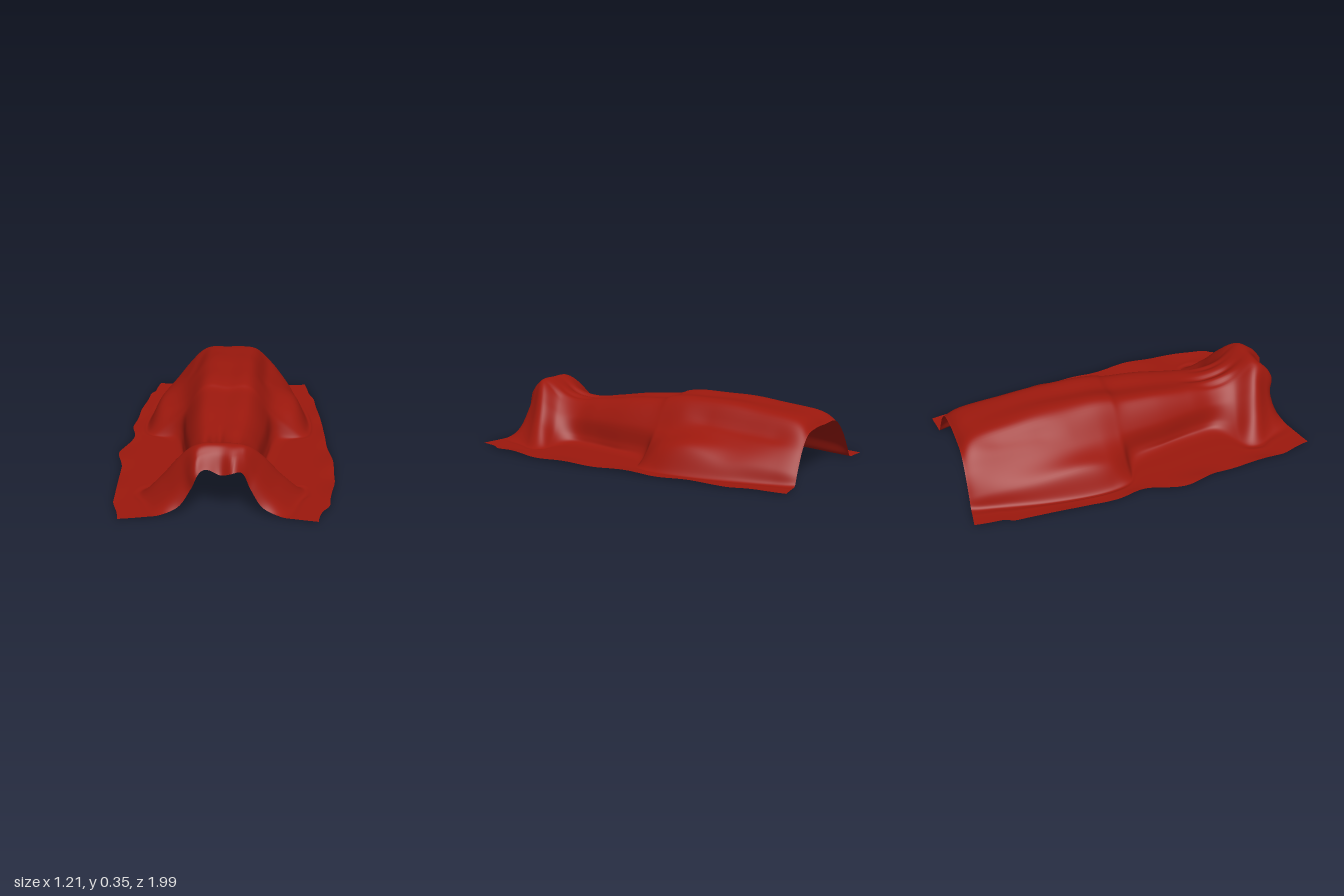
import * as THREE from 'three';

// Half cross-sections of the drape from head end to foot end:
// [z, ground line x, arm x, arm y, flank x, flank y, top half width, top y]
const STATIONS = [
  [-0.96, 0.36, 0.33, 0.07, 0.26, 0.18, 0.16, 0.255],
  [-0.87, 0.385, 0.355, 0.09, 0.27, 0.20, 0.15, 0.312],
  [-0.60, 0.445, 0.395, 0.115, 0.28, 0.205, 0.14, 0.345],
  [-0.36, 0.48, 0.41, 0.145, 0.28, 0.205, 0.14, 0.35],
  [-0.20, 0.48, 0.405, 0.125, 0.27, 0.195, 0.14, 0.35],
  [-0.09, 0.445, 0.365, 0.08, 0.255, 0.18, 0.14, 0.334],
  [-0.01, 0.32, 0.27, 0.06, 0.235, 0.18, 0.14, 0.31],
  [0.20, 0.265, 0.235, 0.055, 0.215, 0.18, 0.13, 0.296],
  [0.40, 0.24, 0.205, 0.055, 0.185, 0.17, 0.11, 0.264],
  [0.55, 0.25, 0.20, 0.055, 0.165, 0.16, 0.09, 0.253],
  [0.69, 0.36, 0.27, 0.07, 0.185, 0.18, 0.09, 0.28],
  [0.82, 0.42, 0.32, 0.125, 0.22, 0.25, 0.12, 0.35],
  [0.89, 0.36, 0.27, 0.095, 0.185, 0.205, 0.115, 0.315],
  [0.94, 0.30, 0.21, 0.055, 0.15, 0.145, 0.10, 0.25],
];

// Hem outlines, as [z, x]
const HEM_RIGHT = [[-1, -0.48], [-0.85, -0.50], [-0.77, -0.53], [-0.4, -0.56], [-0.2, -0.575],
  [-0.05, -0.55], [0.2, -0.61], [0.4, -0.57], [0.8, -0.56], [0.94, -0.515]];
const HEM_LEFT = [[-1, 0.49], [-0.85, 0.51], [-0.68, 0.545], [-0.2, 0.575], [0, 0.58],
  [0.3, 0.605], [0.5, 0.60], [0.8, 0.56], [0.94, 0.49]];

const { smoothstep, clamp, lerp } = THREE.MathUtils;
const bell = (v, centre, width) => Math.exp(-(((v - centre) / width) ** 2));

function hemAt(hem, z) {
  let i = 0;
  while (i < hem.length - 2 && z > hem[i + 1][0]) i++;
  const [a, b] = [hem[i], hem[i + 1]];
  return lerp(a[1], b[1], smoothstep(z, a[0], b[0]));
}

// Cubic blend of neighbouring stations
function stationAt(t) {
  const n = STATIONS.length - 1;
  const i = Math.min(Math.floor(t * n), n - 1);
  const u = t * n - i;
  const at = (k) => STATIONS[clamp(k, 0, n)];
  return at(i).map((b, c) => {
    const a = at(i - 1)[c], d = at(i + 1)[c], e = at(i + 2)[c];
    const m0 = (d - a) / 2, m1 = (e - b) / 2;
    return b + u * (m0 + u * (3 * (d - b) - 2 * m0 - m1 + u * (2 * (b - d) + m0 + m1)));
  });
}

// Creases and soft lumps in the cloth
function foldDepth(x, z) {
  const span = (a, b) => smoothstep(z, a, a + 0.2) * (1 - smoothstep(z, b - 0.2, b));
  let d = -0.028 * bell(x, 0.2 - 0.04 * z, 0.04) * span(-0.98, -0.2);
  d -= 0.014 * bell(x, -0.2 - 0.08 * (z + 0.6), 0.04) * span(-0.95, -0.35);
  d -= 0.016 * bell(x, -0.02, 0.018) * span(0.35, 0.82);
  d -= 0.012 * bell(x, -0.09, 0.018) * span(0.4, 0.8);
  d -= 0.014 * bell(x, 0.06, 0.02) * span(0.42, 0.8);
  d -= 0.03 * bell(x, 0, 0.05) * smoothstep(z, 0.88, 0.94);
  // Dip behind the left forearm
  d -= 0.03 * bell(x, 0.43, 0.06) * bell(z, -0.62, 0.12);
  d += 0.005 * Math.sin(9 * z + 14 * x) * Math.sin(17 * x - 5 * z);
  return d;
}

function createDrape() {
  const rows = 143, cols = 120;
  const positions = [], indices = [];
  for (let r = 0; r <= rows; r++) {
    const [z, foot, armX, armY, flankX, flankY, topW, topY] = stationAt(r / rows);
    const half = (s, hem) => [
      [hem, 0.01], [lerp(hem, s * foot, 0.6), 0.01], [s * foot, 0.015],
      [s * armX, armY], [s * flankX, flankY], [s * topW, topY * 0.985],
    ];
    const section = [
      ...half(-1, hemAt(HEM_RIGHT, z)),
      [0, topY],
      ...half(1, hemAt(HEM_LEFT, z)).reverse(),
    ].map(([x, y]) => new THREE.Vector3(x, y, 0));
    const curve = new THREE.CatmullRomCurve3(section, false, 'catmullrom', 0.5);
    const front = smoothstep(z, 0.8, 0.94), back = smoothstep(-z, 0.85, 0.96);
    // The feet's ridge runs diagonally backwards down to the ground
    const slant = bell(z, 0.8, 0.17) * (1 - smoothstep(z, 0.86, 0.94));
    for (let c = 0; c <= cols; c++) {
      const p = curve.getPoint(c / cols);
      const ax = Math.abs(p.x);
      const raised = smoothstep(p.y, 0.03, 0.2);
      const ripple = 0.005 * smoothstep(ax, 0.48, 0.6) * (1 + Math.sin(16 * z + 5 * p.x));
      const y = Math.max(0.006, p.y + foldDepth(p.x, z) * raised + ripple);
      const pull = slant * (p.x > 0 ? 0.55 : 0.38) * clamp(ax - 0.12, 0, 0.3)
        * (1 - smoothstep(ax, 0.43, 0.57));
      // Ends of the cloth sweep out to the corners, with scallops over the feet
      const scallop = 0.035 * (bell(p.x, -0.14, 0.04) + bell(p.x, 0.06, 0.04));
      const flare = 0.2 * Math.max(ax - 0.14, 0) - 0.015 + scallop * smoothstep(p.y, 0.12, 0.24);
      positions.push(p.x, y, z - pull + front * flare - back * 0.14 * p.x * p.x);
    }
  }
  const w = cols + 1;
  for (let r = 0; r < rows; r++) {
    for (let c = 0; c < cols; c++) {
      const a = r * w + c;
      indices.push(a, a + w, a + 1, a + 1, a + w, a + w + 1);
    }
  }
  const geometry = new THREE.BufferGeometry();
  geometry.setAttribute('position', new THREE.Float32BufferAttribute(positions, 3));
  geometry.setIndex(indices);
  geometry.computeVertexNormals();
  return geometry;
}

export function createModel() {
  const group = new THREE.Group();
  group.name = 'drapedCloth';
  const material = new THREE.MeshStandardMaterial({ color: 0x9c180d, side: THREE.DoubleSide });
  const sheet = new THREE.Mesh(createDrape(), material);
  sheet.name = 'clothSheet';
  group.add(sheet);
  return group;
}
